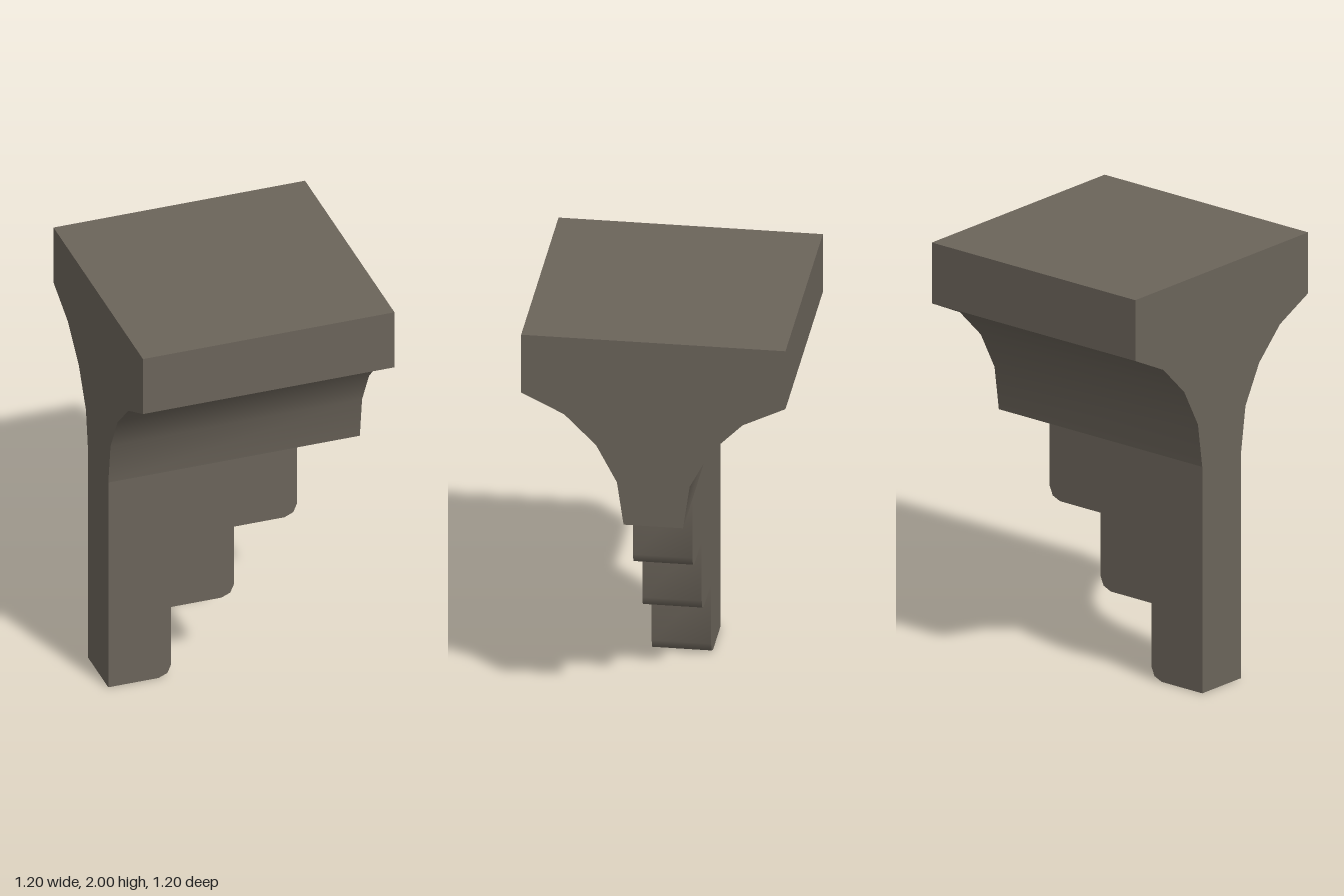
import * as THREE from 'three';
import { toCreasedNormals } from 'three/addons/utils/BufferGeometryUtils.js';

// Extrude an outline along z, centred, keeping hard edges sharp and curves smooth
function extrudeOutline(points, depth) {
  const shape = new THREE.Shape(points.map(([x, y]) => new THREE.Vector2(x, y)));
  const geometry = new THREE.ExtrudeGeometry(shape, { depth, bevelEnabled: false });
  geometry.translate(0, 0, -depth / 2);
  return toCreasedNormals(geometry, 0.8);
}

export function createModel() {
  const group = new THREE.Group();
  const stone = new THREE.MeshStandardMaterial({ color: 0x6b645a });
  stone.name = 'warm grey stone';

  // Flared capital: concave curve on both sides up to the square slab
  const flare = [[0.135, 1.08], [0.165, 1.29], [0.26, 1.47], [0.405, 1.615], [0.6, 1.71], [0.6, 2]];
  const mirrored = flare.map(([x, y]) => [-x, y]).reverse();
  const capitalGeometry = extrudeOutline([...flare, ...mirrored], 1.2);
  capitalGeometry.rotateY(Math.PI / 2);
  const capital = new THREE.Mesh(capitalGeometry, stone);
  capital.name = 'flaredCapital';
  group.add(capital);

  // Stepped bracket: three steps, each with a rounded lower corner
  const heights = [0, 0.362, 0.724, 1.08];
  const outline = [[-0.6, 0]];
  for (let i = 0; i < 3; i++) {
    const x = -0.3 + i * 0.3;
    const y = heights[i];
    outline.push([x - 0.06, y], [x - 0.018, y + 0.018], [x, y + 0.06], [x, heights[i + 1]]);
  }
  outline.push([-0.6, 1.08]);
  const bracket = new THREE.Mesh(extrudeOutline(outline, 0.27), stone);
  bracket.name = 'steppedBracket';
  group.add(bracket);

  return group;
}
